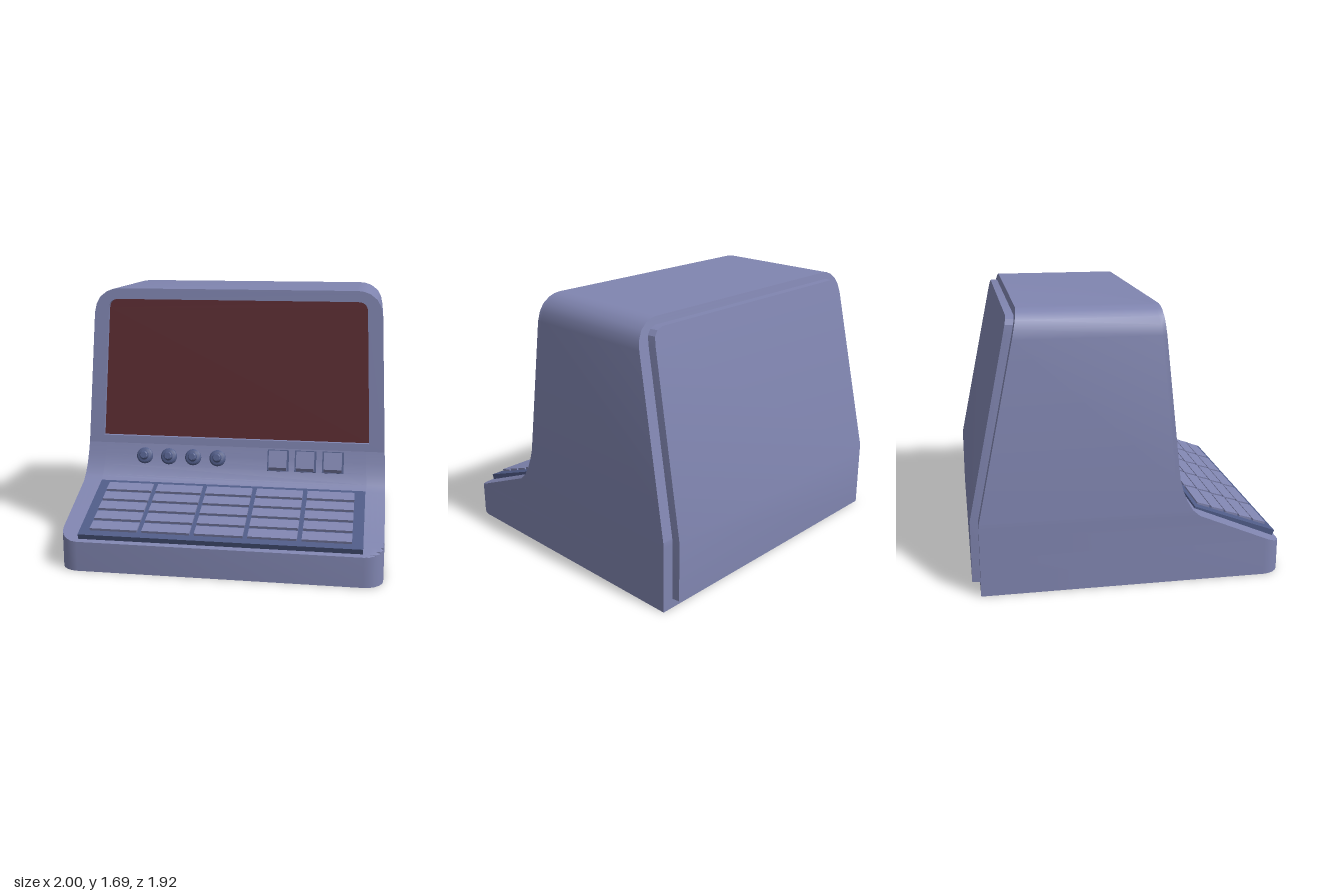
import * as THREE from 'three';
import { toCreasedNormals } from 'three/addons/utils/BufferGeometryUtils.js';

const mat = (color) => new THREE.MeshStandardMaterial({ color });

// Piecewise-linear lookup in [key, value] pairs
function lookup(table, k) {
  for (let i = 1; i < table.length; i++) {
    const [k0, v0] = table[i - 1], [k1, v1] = table[i];
    if (k <= k1) return v0 + (v1 - v0) * (k - k0) / (k1 - k0);
  }
  return table[table.length - 1][1];
}

// Case outline by height: front edge, back edge and half width
const FRONT = [[0, 0.96], [0.19, 0.96], [0.42, 0.42], [0.46, 0.375], [0.52, 0.34], [0.585, 0.315], [0.66, 0.295], [1.69, 0.19]];
const BACK = [[0, -0.91], [0.45, -0.91], [1.69, -0.65]];
const WIDTH = [[0, 1], [0.45, 1], [1.53, 0.953], [1.59, 0.94], [1.635, 0.915], [1.67, 0.87], [1.685, 0.83], [1.69, 0.79]];
const FACE_Y = 0.66, RECESS = 0.03, CORNER = 0.12;
const front = (y) => lookup(FRONT, y), back = (y) => lookup(BACK, y), width = (y) => lookup(WIDTH, y);

// Skin closed horizontal rows (clockwise from above), capped at both ends
function loft(rows) {
  const pos = [], n = rows[0].length;
  const tri = (...pts) => pts.forEach((p) => pos.push(p[0], p[1], p[2]));
  for (let j = 0; j < rows.length - 1; j++) {
    for (let i = 0; i < n; i++) {
      const k = (i + 1) % n;
      tri(rows[j][i], rows[j + 1][i], rows[j + 1][k]);
      tri(rows[j][i], rows[j + 1][k], rows[j][k]);
    }
  }
  const bottom = rows[0], top = rows[rows.length - 1];
  for (let i = 1; i < n - 1; i++) {
    tri(bottom[0], bottom[i], bottom[i + 1]);
    tri(top[0], top[i + 1], top[i]);
  }
  const g = new THREE.BufferGeometry();
  g.setAttribute('position', new THREE.Float32BufferAttribute(pos, 3));
  return toCreasedNormals(g, 0.5);
}

// Case: vertical rounded front corners cut off by the sloping desk
function caseGeometry() {
  const arc = Array.from({ length: 6 }, (_, i) => (1 - i / 5) * Math.PI / 2);
  const row = (y, inset) => {
    const w = width(y), z = front(y) - inset;
    const half = [[w, back(y)], ...arc.map((t) =>
      [w - CORNER * (1 - Math.sin(t)), Math.min(z, 0.96 - CORNER * (1 - Math.cos(t)))])];
    const mirrored = half.map(([x, zz]) => [-x, zz]).reverse();
    return [...half, ...mirrored].map(([x, zz]) => [x, y, zz]);
  };
  // Extra levels where the slope meets each corner point
  const cornerYs = arc.map((t) => 0.19 + CORNER * (1 - Math.cos(t)) * 0.23 / 0.54).reverse();
  const lower = [0, ...cornerYs, 0.42, 0.45, 0.46, 0.52, 0.585, FACE_Y];
  const upper = [FACE_Y, ...WIDTH.slice(2).map((p) => p[0])];
  return loft([...lower.map((y) => row(y, 0)), ...upper.map((y) => row(y, RECESS))]);
}

// Opening for the screen
function screenPath(Type) {
  const p = new Type();
  p.moveTo(-0.89, 0.71);
  p.lineTo(0.89, 0.71);
  p.lineTo(0.856, 1.56);
  p.quadraticCurveTo(0.853, 1.62, 0.79, 1.62);
  p.lineTo(-0.79, 1.62);
  p.quadraticCurveTo(-0.853, 1.62, -0.856, 1.56);
  p.closePath();
  return p;
}

// Lean a flat geometry back onto the front face
function leanOnFace(g, offset) {
  const p = g.attributes.position;
  for (let i = 0; i < p.count; i++) p.setZ(i, p.getZ(i) + front(p.getY(i)) + offset);
  g.computeVertexNormals();
  return g;
}

function bezelGeometry() {
  const ys = [FACE_Y, ...WIDTH.slice(2).map((p) => p[0])];
  const right = ys.map((y) => new THREE.Vector2(width(y), y));
  const left = ys.map((y) => new THREE.Vector2(-width(y), y)).reverse();
  const shape = new THREE.Shape([...right, ...left]);
  shape.holes.push(screenPath(THREE.Path));
  const g = new THREE.ExtrudeGeometry(shape, { depth: RECESS, bevelEnabled: false, curveSegments: 6 });
  return toCreasedNormals(leanOnFace(g, -RECESS), 0.5);
}

// Raised rear panel that follows the bend of the back
function rearPanelGeometry() {
  const levels = [[0.06, 0.93], [0.45, 0.93], [1.55, 0.882], [1.6, 0.875], [1.63, 0.85], [1.645, 0.81]];
  return loft(levels.map(([y, w]) => {
    const z = back(y), o = w - 0.01;
    return [[w, y, z + 0.02], [-w, y, z + 0.02], [-o, y, z - 0.048], [o, y, z - 0.048]];
  }));
}

export function createModel() {
  const model = new THREE.Group();
  model.name = 'retroTerminal';
  const shell = mat(0x8085b0), dark = mat(0x505c88), glass = mat(0x5c2c32);

  const add = (parent, name, geometry, material, x = 0, y = 0, z = 0) => {
    const m = new THREE.Mesh(geometry, material);
    m.name = name;
    m.position.set(x, y, z);
    parent.add(m);
    return m;
  };
  // Group whose local y points out of a tilted surface
  const tilted = (name, x, y, z, angle) => {
    const g = new THREE.Group();
    g.name = name;
    g.position.set(x, y, z);
    g.rotation.x = angle;
    model.add(g);
    return g;
  };

  add(model, 'case', caseGeometry(), shell);
  add(model, 'screenBezel', bezelGeometry(), shell);
  add(model, 'screen', leanOnFace(new THREE.ShapeGeometry(screenPath(THREE.Shape), 6), -RECESS + 0.003), glass);
  add(model, 'rearPanel', rearPanelGeometry(), shell);

  // Keyboard: tray and a five by five block of wide keys
  const keyboard = tilted('keyboard', 0, 0.333, 0.685, 0.36);
  add(keyboard, 'keyTray', new THREE.BoxGeometry(1.75, 0.05, 0.56), dark, 0, -0.025, 0);
  const keyGeo = new THREE.BoxGeometry(0.3, 0.03, 0.083);
  for (let r = 0; r < 5; r++) {
    for (let c = 0; c < 5; c++) {
      const key = add(keyboard, 'key', keyGeo, shell, (c - 2) * 0.329, -0.002, (r - 2) * 0.0995 - 0.005);
      key.rotation.x = -0.07;
    }
  }

  // Four turned knobs
  const knobProfile = [[0, -0.02], [0.054, -0.02], [0.054, 0.012], [0.045, 0.022], [0.03, 0.026],
    [0.027, 0.05], [0.021, 0.056], [0, 0.056]].map(([r, y]) => new THREE.Vector2(r, y));
  const knobGeo = toCreasedNormals(new THREE.LatheGeometry(knobProfile, 20), 0.5);
  for (let i = 0; i < 4; i++) {
    add(tilted('knobMount', -0.6 + i * 0.165, 0.583, 0.318, 1.235), 'knob', knobGeo, dark);
  }

  // Three square push switches with a bevelled lower edge
  const capShape = new THREE.Shape([[-0.062, -0.01], [0.066, -0.01], [0.066, 0.02], [0.05, 0.052], [-0.062, 0.052]]
    .map(([z, y]) => new THREE.Vector2(z, y)));
  const capGeo = new THREE.ExtrudeGeometry(capShape, { depth: 0.116, bevelEnabled: false });
  capGeo.translate(0, 0, -0.058).rotateY(-Math.PI / 2);
  for (let i = 0; i < 3; i++) {
    const mount = tilted('switch', 0.3 + i * 0.18, 0.583, 0.318, 1.235);
    add(mount, 'switchFrame', new THREE.BoxGeometry(0.14, 0.05, 0.14), dark, 0, -0.008, 0);
    add(mount, 'switchCap', capGeo, shell);
  }
  return model;
}
